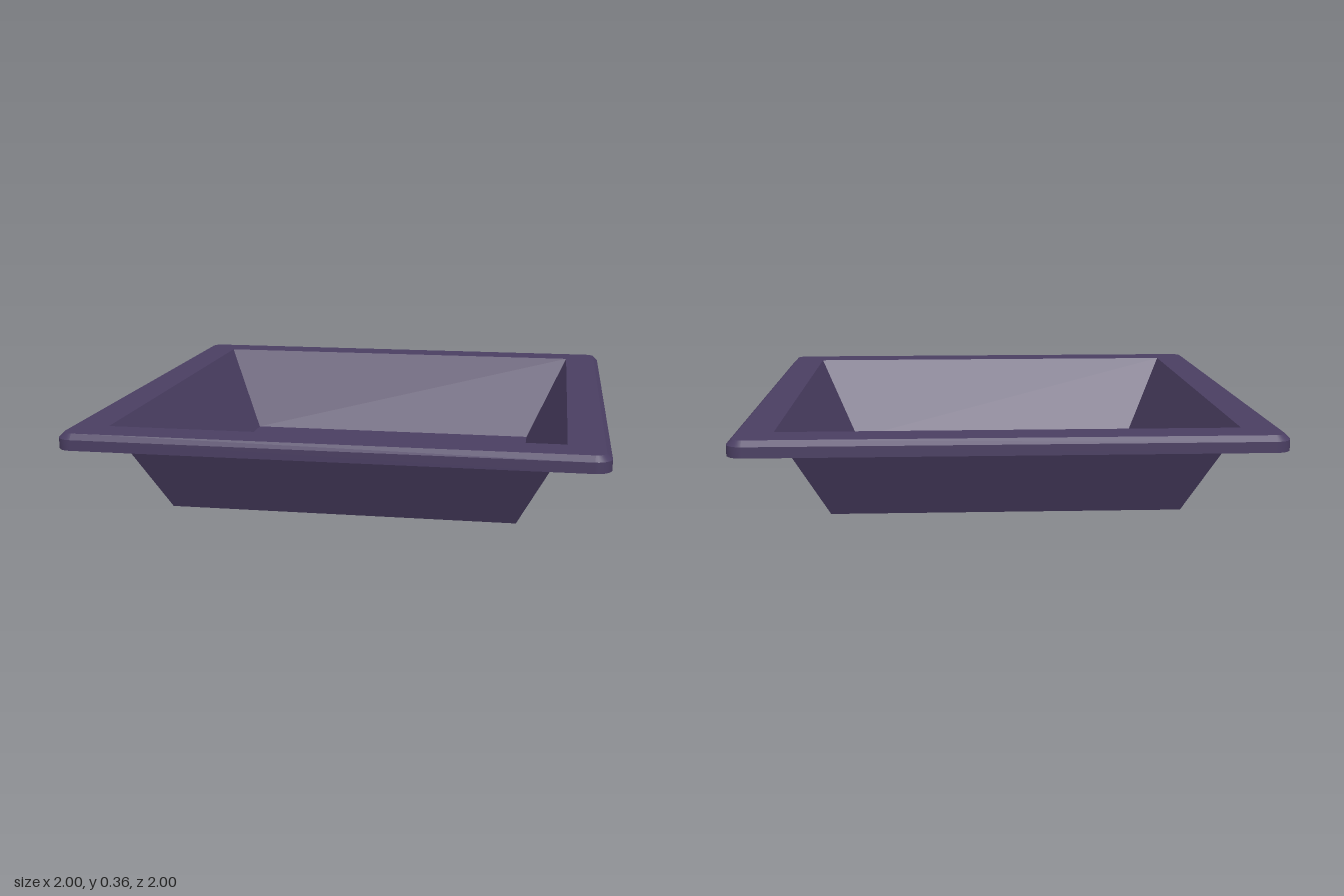
import * as THREE from 'three';

const RIM_TOP = 0.36, RIM_BOTTOM = 0.3, OPENING = 0.847, FLOOR = 0.67;

// Outline of a square with rounded corners, as 2D points (half = half width)
function outline(half, radius, segments = 8) {
  const points = [];
  for (let corner = 0; corner < 4; corner++) {
    const middle = Math.PI / 4 + corner * Math.PI / 2;
    const cx = Math.sign(Math.cos(middle)) * (half - radius);
    const cy = Math.sign(Math.sin(middle)) * (half - radius);
    const steps = radius > 0 ? segments : 0;
    for (let i = 0; i <= steps; i++) {
      const a = corner * Math.PI / 2 + (steps ? i / steps : 0) * Math.PI / 2;
      points.push(new THREE.Vector2(cx + radius * Math.cos(a), cy + radius * Math.sin(a)));
    }
  }
  return points;
}

// Closed band of quads between a lower and an upper outline
function band(lower, yLow, upper, yHigh) {
  const n = lower.length, positions = [], index = [];
  for (let i = 0; i < n; i++) {
    positions.push(lower[i].x, yLow, lower[i].y, upper[i].x, yHigh, upper[i].y);
    const a = 2 * i, b = 2 * ((i + 1) % n);
    index.push(a, a + 1, b + 1, a, b + 1, b);
  }
  const geometry = new THREE.BufferGeometry();
  geometry.setAttribute('position', new THREE.Float32BufferAttribute(positions, 3));
  geometry.setIndex(index);
  geometry.computeVertexNormals();
  return geometry;
}

export function createModel() {
  const group = new THREE.Group();
  group.name = 'squareTray';
  const smooth = new THREE.MeshStandardMaterial({ color: 0x4a3e62, side: THREE.DoubleSide });
  const flat = smooth.clone();
  flat.flatShading = true;
  const add = (name, geometry, material = smooth) => {
    const mesh = new THREE.Mesh(geometry, material);
    mesh.name = name;
    group.add(mesh);
  };

  const outer = outline(1, 0.06);
  const inset = outline(0.98, 0.04);

  // Hollow rim: flat top with a square opening, bevel, and a short skirt
  const top = new THREE.Shape(inset);
  top.holes.push(new THREE.Path(outline(OPENING, 0).reverse()));
  const topGeometry = new THREE.ShapeGeometry(top);
  topGeometry.rotateX(-Math.PI / 2).translate(0, RIM_TOP, 0);
  add('rimTop', topGeometry);
  add('rimBevel', band(outer, 0.34, inset, RIM_TOP));
  add('rimSkirt', band(outer, RIM_BOTTOM, outer, 0.34));

  // Thin sloping basin hanging from the opening
  add('basinWalls', band(outline(FLOOR, 0), 0, outline(OPENING, 0), RIM_TOP), flat);
  const floor = new THREE.PlaneGeometry(2 * FLOOR, 2 * FLOOR);
  floor.rotateX(-Math.PI / 2);
  add('basinFloor', floor);

  return group;
}
